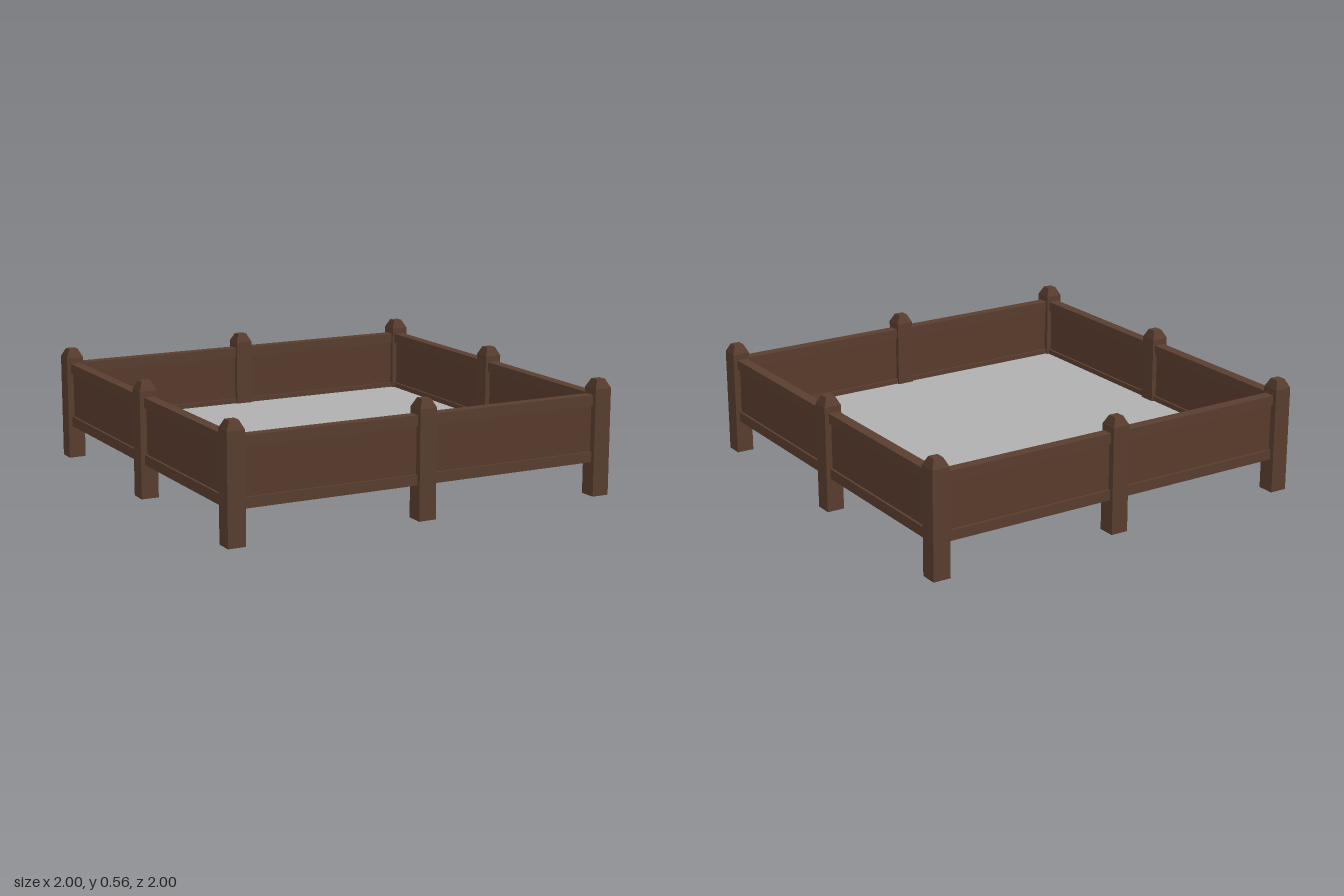
import * as THREE from 'three';

const frameWood = new THREE.MeshStandardMaterial({ color: 0x5a3e2f });
frameWood.name = 'frame brown';
const panelWood = new THREE.MeshStandardMaterial({ color: 0x5a3c2d });
panelWood.name = 'panel brown';
const floorGrey = new THREE.MeshStandardMaterial({ color: 0xb0b0b0 });
floorGrey.name = 'floor grey';

const POST = 0.087;   // post width
const EDGE = 0.9565;  // distance of post centres from the middle

function box(name, w, h, d, x, y, z, material) {
  const mesh = new THREE.Mesh(new THREE.BoxGeometry(w, h, d), material);
  mesh.name = name;
  mesh.position.set(x, y, z);
  return mesh;
}

// Square post with a chamfered top
function post(x, z) {
  const group = new THREE.Group();
  group.name = 'post';
  group.add(box('postShaft', POST, 0.52, POST, 0, 0.26, 0, frameWood));
  const capGeometry = new THREE.CylinderGeometry(0.046 / Math.SQRT2, POST / Math.SQRT2, 0.042, 4)
    .rotateY(Math.PI / 4).toNonIndexed();
  capGeometry.computeVertexNormals();
  const cap = new THREE.Mesh(capGeometry, frameWood);
  cap.name = 'postCap';
  cap.position.y = 0.541;
  group.add(cap);
  group.position.set(x, 0, z);
  return group;
}

// One wall: two bays, each a thin panel between two rails
function wall() {
  const group = new THREE.Group();
  group.name = 'wall';
  const length = EDGE - POST;
  for (const side of [-1, 1]) {
    const x = side * EDGE / 2;
    group.add(
      box('topRail', length, 0.05, 0.054, x, 0.465, EDGE - 0.004, frameWood),
      box('bottomRail', length, 0.05, 0.054, x, 0.19, EDGE - 0.004, frameWood),
      box('panel', length, 0.225, 0.03, x, 0.3275, EDGE - 0.004, panelWood),
    );
  }
  return group;
}

export function createModel() {
  const model = new THREE.Group();
  model.name = 'raisedBed';

  // Posts at the corners and the middle of each side
  for (const i of [-1, 0, 1]) {
    for (const j of [-1, 0, 1]) {
      if (i || j) model.add(post(i * EDGE, j * EDGE));
    }
  }

  // Four walls
  for (let k = 0; k < 4; k++) {
    const side = wall();
    side.rotation.y = k * Math.PI / 2;
    model.add(side);
  }

  // Floor sheet resting between the bottom rails
  model.add(box('floor', 1.88, 0.006, 1.88, 0, 0.187, 0, floorGrey));
  return model;
}
